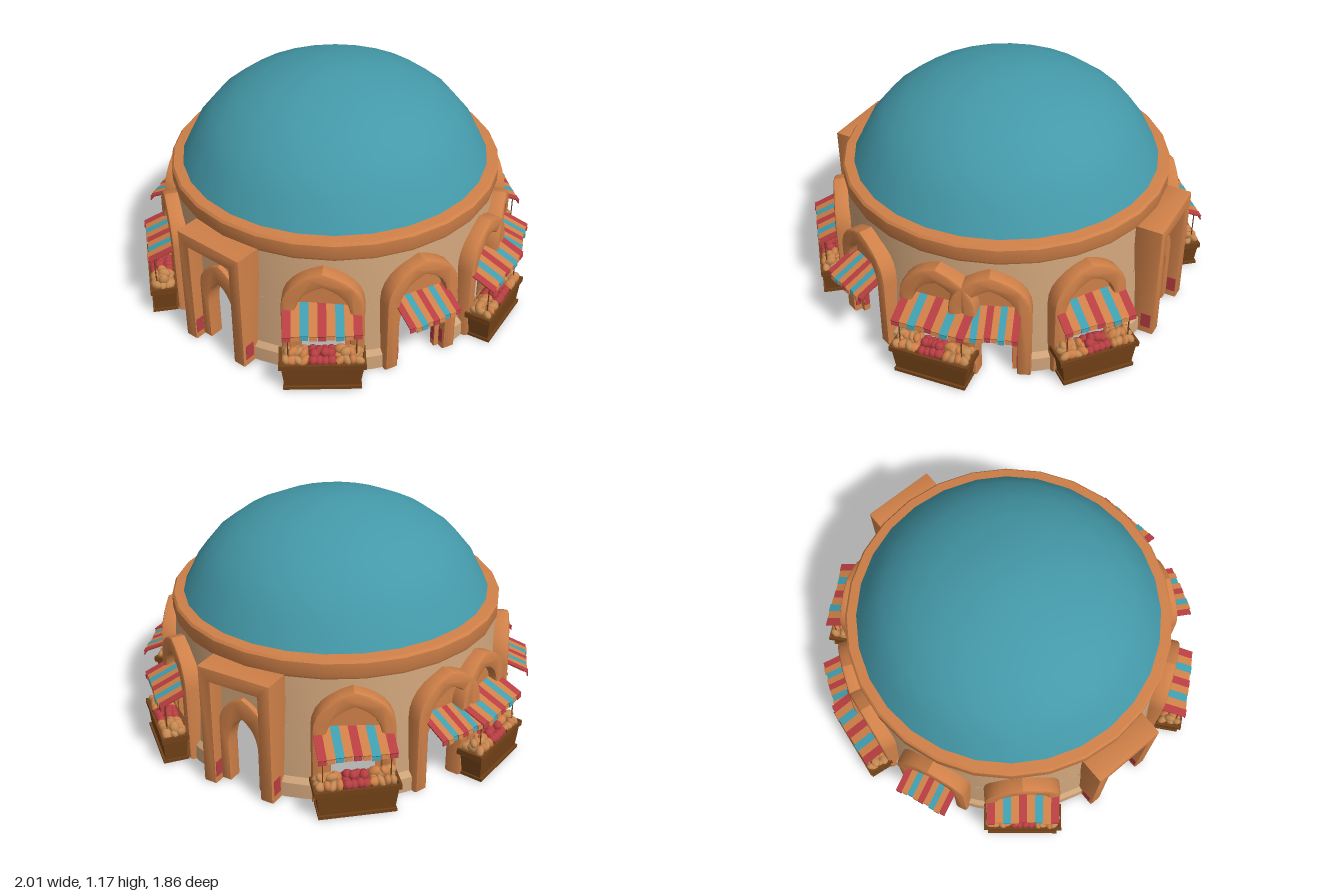
import * as THREE from 'three';
import { toCreasedNormals } from 'three/addons/utils/BufferGeometryUtils.js';

const material = (name, color) => {
  const m = new THREE.MeshStandardMaterial({ color });
  m.name = name;
  return m;
};

export function createModel() {
  const clay = material('terracotta', 0xcf8048);
  const sand = material('sand plaster', 0xcfa47a);
  const teal = material('dome teal', 0x4499a9);
  const wood = material('dark wood', 0x734218);
  const red = material('red cloth', 0xb83e42);
  const blue = material('blue cloth', 0x3f9fb0);
  const tan = material('tan fruit', 0xc68a52);

  const model = new THREE.Group();
  model.name = 'domedMarket';
  let seed = 7;
  const rand = () => (seed = (seed * 16807) % 2147483647) / 2147483647;
  const V = (x, y) => new THREE.Vector2(x, y);
  const rad = THREE.MathUtils.degToRad;

  const add = (parent, name, geo, mat, x = 0, y = 0, z = 0) => {
    const mesh = new THREE.Mesh(geo, mat);
    mesh.name = name;
    mesh.position.set(x, y, z);
    parent.add(mesh);
    return mesh;
  };
  const box = (parent, name, mat, w, h, d, x, y, z) =>
    add(parent, name, new THREE.BoxGeometry(w, h, d), mat, x, y, z);
  const lathe = (name, mat, pts, crease = 0.6, segs = 32, start = 0, len = Math.PI * 2) =>
    add(model, name, toCreasedNormals(
      new THREE.LatheGeometry(pts.map(p => V(...p)), segs, start, len), crease), mat);

  // Dome, cornice band and ceiling
  lathe('dome', teal, [[0.768, 0.69], [0.75, 0.72], [0.69, 0.84], [0.6, 0.95], [0.48, 1.04],
    [0.33, 1.11], [0.15, 1.155], [0, 1.167]], 1, 28);
  lathe('corniceBand', clay, [[0.76, 0.61], [0.808, 0.61], [0.815, 0.625], [0.815, 0.69],
    [0.805, 0.702], [0.755, 0.708]], 0.6, 28);
  add(model, 'ceiling', new THREE.CircleGeometry(0.775, 32).rotateX(Math.PI / 2), sand, 0, 0.698, 0);

  // Bays around the wall: [degrees from the front, kind, twist of the stall]
  const bays = [[0, 'portal', 0], [180, 'portal', 0]];
  for (const s of [1, -1]) {
    bays.push([s * 35, 'stall', s * 5], [s * 66.5, 'door', s * 2], [s * 97, 'stall', 0],
      [s * 113.5, 'door', s * -2], [s * 145, 'stall', s * -5]);
  }

  // Thin wall: full ring above the openings, separate pieces between them
  lathe('upperWall', sand, [[0.822, 0.36], [0.8, 0.62]], 1, 40);
  lathe('innerWallTop', sand, [[0.77, 0.7], [0.79, 0.45]], 1, 40);
  lathe('innerWallMiddle', clay, [[0.79, 0.45], [0.8, 0.36], [0.822, 0.36]], 0.6, 40);
  const gap = 8.5;
  const angles = bays.map(b => (b[0] + 360) % 360).sort((a, b) => a - b);
  angles.forEach((a, i) => {
    const from = a + gap;
    const span = (angles[i + 1] ?? 360) - gap - from;
    if (span <= 0.1) return;
    const piece = (name, mat, pts) =>
      lathe(name, mat, pts, 0.6, Math.ceil(span / 8), rad(from), rad(span));
    piece('wallPiece', sand, [[0.835, 0], [0.862, 0], [0.86, 0.075], [0.838, 0.1], [0.822, 0.361]]);
    piece('innerWallPiece', clay, [[0.8, 0.361], [0.835, 0]]);
  });

  // Pointed arch outlines
  const arch = (w, spring, peak) => {
    const p = new THREE.Path();
    const k = spring + (peak - spring) * 0.72;
    p.moveTo(-w, 0);
    p.lineTo(-w, spring);
    p.quadraticCurveTo(-w, k, 0, peak);
    p.quadraticCurveTo(w, k, w, spring);
    p.lineTo(w, 0);
    return p.getPoints(6);
  };
  const rect = (w, y0, y1) => [V(-w, y0), V(-w, y1), V(w, y1), V(w, y0)];
  const surround = (outer, inner) => new THREE.Shape([...outer, ...[...inner].reverse()]);
  const extrude = (parent, name, mat, shape, z0, z1, bevel = 0) => {
    const geo = new THREE.ExtrudeGeometry(shape, {
      depth: z1 - z0 - bevel, bevelEnabled: bevel > 0, bevelSize: bevel,
      bevelThickness: bevel, bevelOffset: -bevel, bevelSegments: 2,
    });
    return add(parent, name, toCreasedNormals(geo, 0.6), mat, 0, 0, z0);
  };
  // Red paint on both inner sides of an opening
  const patches = (parent, x, z0, z1) => {
    for (const s of [1, -1]) {
      box(parent, 'paintPatch', red, 0.005, 0.08, z1 - z0, s * x, 0.075, (z0 + z1) / 2);
    }
  };

  // Striped sloping awning with a hanging edge and a wooden underside
  const awning = (parent, width) => {
    const g = new THREE.Group();
    g.name = 'awning';
    g.position.set(0, 0.385, -0.08);
    g.rotation.x = 0.41;
    parent.add(g);
    const cycle = [red, clay, blue, clay];
    const n = 9, w = width / n;
    for (let i = 0; i < n; i++) {
      const x = (i - (n - 1) / 2) * w, len = 0.165 + 0.012 * rand();
      box(g, 'awningStripe', cycle[i % 4], w, 0.006, len, x, 0, len / 2);
      const flap = box(g, 'awningFlap', cycle[i % 4], w * 0.9, 0.006, 0.026, x, -0.01, len + 0.001);
      flap.rotation.x = 0.95;
    }
    box(g, 'awningUnderside', wood, width * 0.98, 0.004, 0.155, 0, -0.005, 0.08);
  };

  // Market counter with fruit bins
  const counter = parent => {
    const g = new THREE.Group();
    g.name = 'counter';
    g.position.z = 0.02;
    parent.add(g);
    const body = new THREE.BoxGeometry(0.375, 0.12, 0.12);
    const p = body.attributes.position;
    for (let i = 0; i < p.count; i++) {
      if (p.getY(i) < 0) p.setXYZ(i, p.getX(i) * 0.92, p.getY(i), p.getZ(i) * 0.85);
    }
    body.computeVertexNormals();
    add(g, 'counterBody', body, wood, 0, 0.07, 0);
    box(g, 'counterFoot', wood, 0.36, 0.016, 0.125, 0, 0.012, 0);
    for (const s of [1, -1]) {
      box(g, 'counterRail', wood, 0.4, 0.024, 0.012, 0, 0.138, s * 0.06);
      box(g, 'counterEnd', wood, 0.012, 0.03, 0.13, s * 0.193, 0.138, 0);
      box(g, 'binDivider', wood, 0.008, 0.035, 0.115, s * 0.062, 0.145, 0);
      add(g, 'awningPost', new THREE.CylinderGeometry(0.003, 0.003, 0.19, 6), wood, s * 0.155, 0.235, 0.03);
    }
    const fruit = new THREE.IcosahedronGeometry(0.024, 1);
    [[tan, clay], [red, red], [clay, tan]].forEach((mats, b) => {
      for (let i = 0; i < 16; i++) {
        const top = i >= 12;
        const x = (b - 1) * 0.122 + (top ? (i - 13.5) * 0.024 : (i % 4 - 1.5) * 0.028);
        const z = top ? (rand() - 0.5) * 0.03 : (Math.floor(i / 4) - 1) * 0.034;
        const f = add(g, 'fruit', fruit, mats[i % 2], x, (top ? 0.178 : 0.154) + rand() * 0.01, z);
        f.rotation.set(rand() * 3, rand() * 3, 0);
        f.scale.set(b === 1 ? 1 : 1.3, 1, b === 1 ? 1 : 0.8);
      }
    });
  };

  for (const [deg, kind, twist] of bays) {
    const bay = new THREE.Group();
    bay.name = kind + 'Bay';
    bay.rotation.y = rad(deg);
    model.add(bay);

    if (kind === 'portal') {
      // Square gateway with a pointed doorway set back inside it
      extrude(bay, 'portalFrame', clay,
        surround(rect(0.19, 0, 0.62), rect(0.125, 0, 0.55)), 0.79, 0.918, 0.008);
      extrude(bay, 'portalPanel', sand,
        surround(rect(0.15, 0, 0.56), arch(0.09, 0.2, 0.37)), 0.795, 0.838);
      extrude(bay, 'portalArch', clay,
        surround(arch(0.135, 0.28, 0.47), arch(0.08, 0.2, 0.36)), 0.792, 0.862, 0.008);
      patches(bay, 0.19, 0.85, 0.9);
      patches(bay, 0.125, 0.865, 0.91);
      continue;
    }

    // Pointed arch surround and recessed panel
    extrude(bay, 'archFrame', clay,
      surround(arch(0.19, 0.38, 0.58), arch(0.125, 0.34, 0.5)), 0.8, 0.872, 0.015);
    const outline = arch(0.15, 0.36, 0.535);
    const fixture = new THREE.Group();
    fixture.name = kind === 'stall' ? 'marketStall' : 'doorAwning';
    fixture.position.z = 0.9;
    fixture.rotation.y = rad(twist);
    bay.add(fixture);
    if (kind === 'stall') {
      const panel = new THREE.Shape(outline);
      panel.holes.push(new THREE.Path(rect(0.1, 0.11, 0.34)));
      extrude(bay, 'windowPanel', clay, panel, 0.795, 0.828);
      counter(fixture);
      awning(fixture, 0.36);
    } else {
      extrude(bay, 'doorPanel', clay, surround(outline, arch(0.1, 0.22, 0.36)), 0.795, 0.828);
      patches(bay, 0.1, 0.797, 0.826);
      patches(bay, 0.125, 0.83, 0.86);
      awning(fixture, 0.28);
    }
  }
  return model;
}
